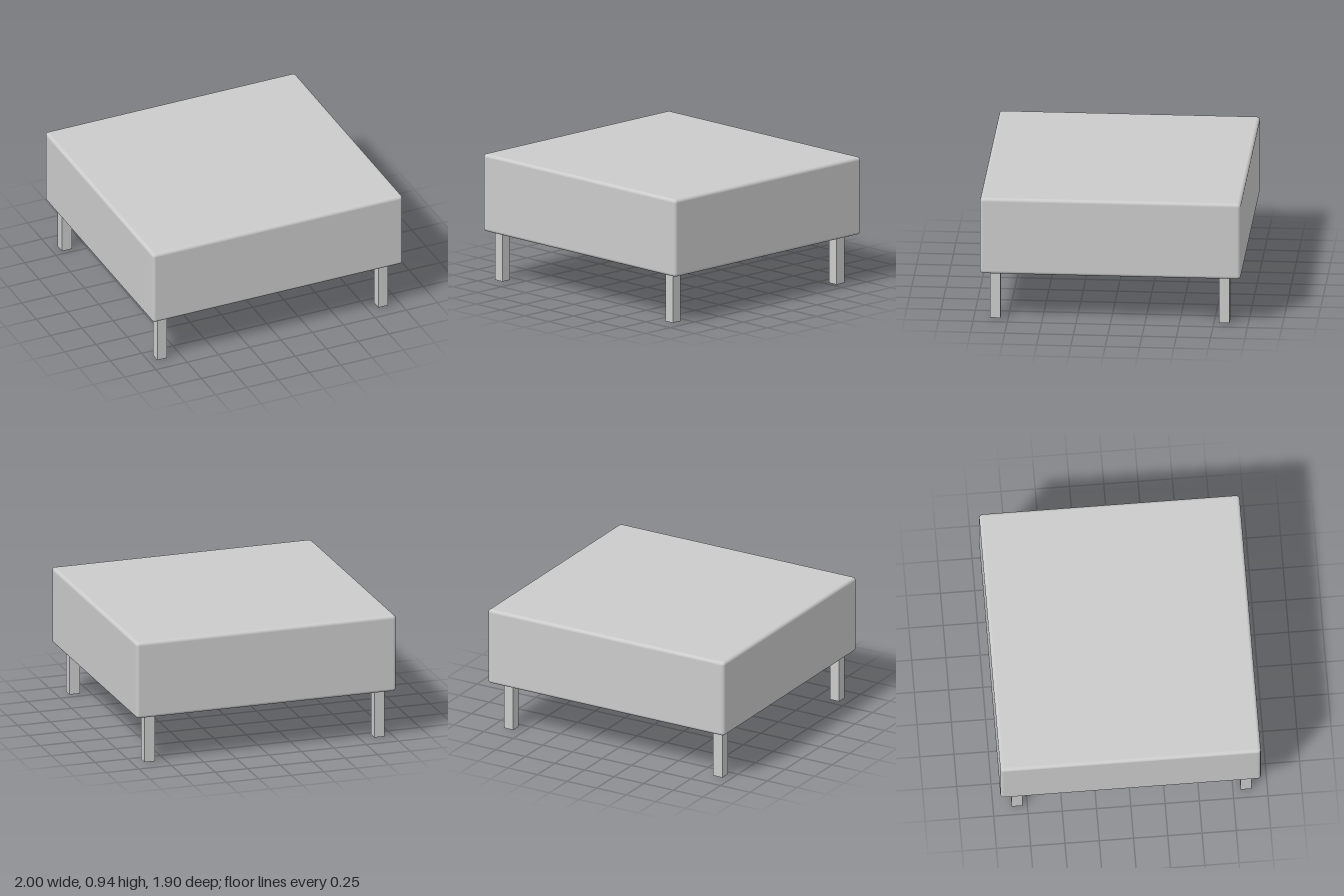
import * as THREE from 'three';
import { RoundedBoxGeometry } from 'three/addons/geometries/RoundedBoxGeometry.js';

export function createModel() {
  const group = new THREE.Group();
  group.name = 'footstool';

  // Upholstered block with softly rounded edges
  const fabric = new THREE.MeshStandardMaterial({ color: 0xcccccc });
  const cushion = new THREE.Mesh(new RoundedBoxGeometry(2, 0.58, 1.9, 4, 0.025), fabric);
  cushion.name = 'cushion';
  cushion.position.y = 0.655;
  group.add(cushion);

  // Square hollow legs, open at the foot
  const legMaterial = new THREE.MeshStandardMaterial({
    color: 0xcccccc, flatShading: true, side: THREE.DoubleSide,
  });
  const legWidth = 0.078, legHeight = 0.37;
  const legGeometry = new THREE.CylinderGeometry(
    legWidth / Math.SQRT2, legWidth / Math.SQRT2, legHeight, 4, 1, true);
  legGeometry.rotateY(Math.PI / 4);
  legGeometry.translate(0, legHeight / 2, 0);

  // The legs sit slightly off centre under the block
  for (const [xName, x] of [['Left', 0.87], ['Right', -0.897]]) {
    for (const [zName, z] of [['front', 0.845], ['back', -0.825]]) {
      const leg = new THREE.Mesh(legGeometry, legMaterial);
      leg.name = `${zName}${xName}Leg`;
      leg.position.set(x, 0, z);
      group.add(leg);
    }
  }
  return group;
}
